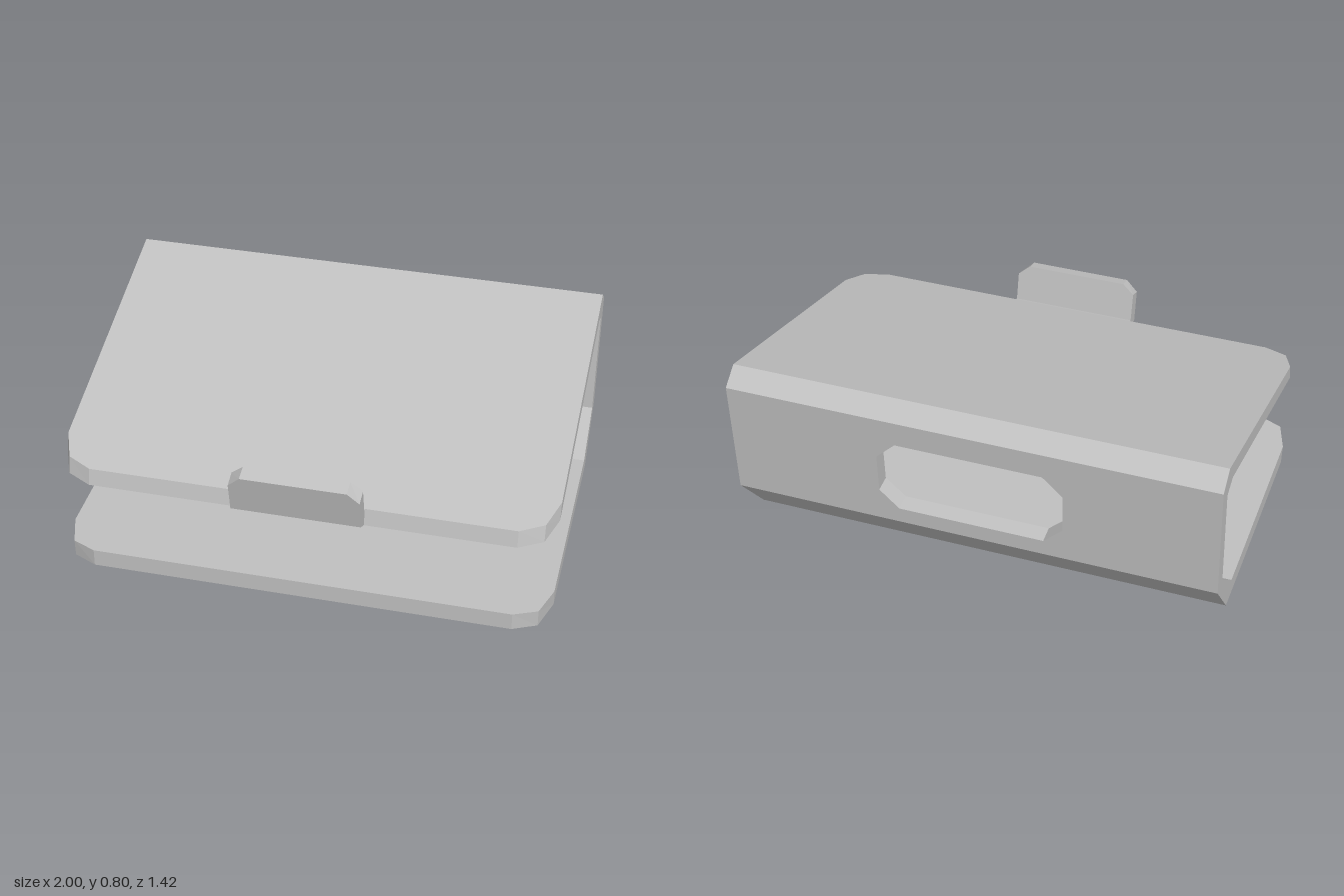
import * as THREE from 'three';

// Bent sheet section as [outer z, outer y, inner z, inner y], from the front of the base round to the tab tip
const SECTION = [
  [0.64, 0, 0.64, 0.075],
  [-0.5, 0, -0.43, 0.075],
  [-0.68, 0.22, -0.61, 0.23],
  [-0.705, 0.65, -0.638, 0.65],
  [-0.71, 0.735, -0.64, 0.675],
  [-0.63, 0.795, -0.565, 0.705],
  [0.61, 0.467, 0.627, 0.4],
  [0.62, 0.465, 0.68, 0.43],
  [0.655, 0.62, 0.713, 0.605],
];

// Closed outline from the right half [x, s], mirrored in x; s runs 0..1 along a panel
function mirrored(half, Type = THREE.Shape) {
  const left = half.map(([x, s]) => [-x, s]).reverse();
  return new Type([...half, ...left].map(([x, s]) => new THREE.Vector2(x, s)));
}

// Extrudes an outline, then maps it between two section stations
function panel(name, shape, i, material) {
  const geo = new THREE.ExtrudeGeometry(shape, { depth: 1, bevelEnabled: false });
  const a = SECTION[i], b = SECTION[i + 1];
  const pos = geo.attributes.position;
  for (let k = 0; k < pos.count; k++) {
    const s = pos.getY(k), t = pos.getZ(k);
    const along = a.map((v, j) => THREE.MathUtils.lerp(v, b[j], s));
    pos.setY(k, THREE.MathUtils.lerp(along[1], along[3], t));
    pos.setZ(k, THREE.MathUtils.lerp(along[0], along[2], t));
  }
  geo.computeVertexNormals();
  const mesh = new THREE.Mesh(geo, material);
  mesh.name = name;
  return mesh;
}

export function createModel() {
  const group = new THREE.Group();
  group.name = 'bentSheetClip';
  const metal = new THREE.MeshStandardMaterial({ color: 0xc0c0c0 });
  metal.name = 'grey metal';

  const strip = (w) => mirrored([[w, 0], [w, 1]]);

  // Plates with clipped front corners
  const base = mirrored([[0.86, 0], [0.957, 0.04], [1, 0.165], [1, 1]]);
  const top = mirrored([[1, 0], [1, 0.87], [0.957, 0.963], [0.86, 1]]);

  // Back wall with an eight-sided slot
  const wall = strip(1);
  wall.holes.push(mirrored([[0.3, 0.165], [0.38, 0.35], [0.38, 0.755], [0.3, 0.94]], THREE.Path));

  // Upturned tab with clipped top corners
  const tab = mirrored([[0.26, 0], [0.26, 0.74], [0.212, 1]]);

  const parts = [
    ['basePlate', base],
    ['lowerBend', strip(1)],
    ['backWall', wall],
    ['upperBackWall', strip(1)],
    ['upperBend', strip(1)],
    ['topPlate', top],
    ['tabBend', strip(0.26)],
    ['frontTab', tab],
  ];
  parts.forEach(([name, shape], i) => group.add(panel(name, shape, i, metal)));
  return group;
}
